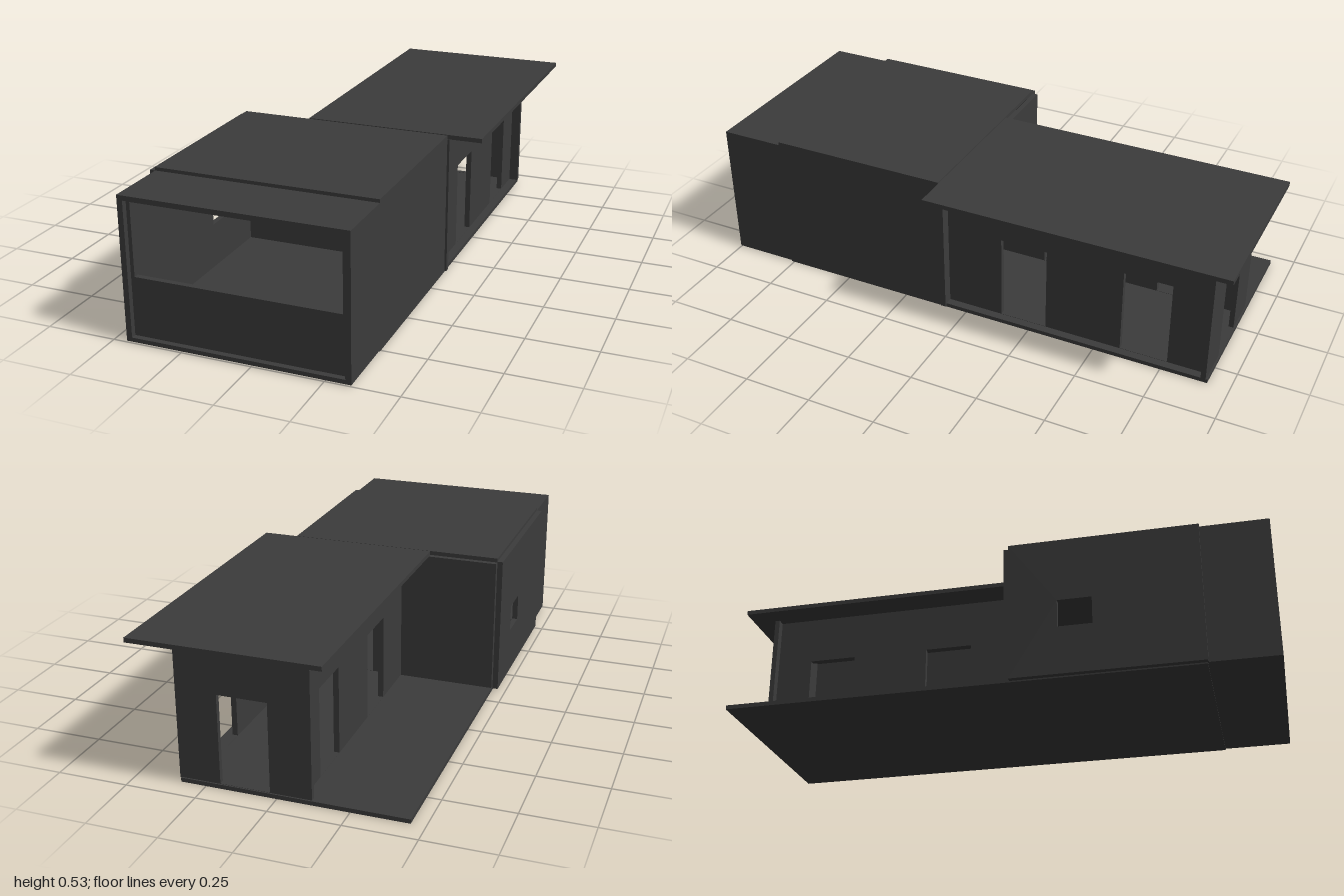
import * as THREE from 'three';

const material = new THREE.MeshStandardMaterial({ color: 0x3c3c3c, side: THREE.DoubleSide });

// Box given by its min and max on each axis
function slab(name, [x0, x1], [y0, y1], [z0, z1]) {
  const mesh = new THREE.Mesh(new THREE.BoxGeometry(x1 - x0, y1 - y0, z1 - z0), material);
  mesh.position.set((x0 + x1) / 2, (y0 + y1) / 2, (z0 + z1) / 2);
  mesh.name = name;
  return mesh;
}

function rect(target, [a0, a1], [y0, y1]) {
  target.moveTo(a0, y0);
  target.lineTo(a1, y0);
  target.lineTo(a1, y1);
  target.lineTo(a0, y1);
  target.closePath();
  return target;
}

// Wall facing z with rectangular openings [[x0, x1], [y0, y1]]
function wallZ(name, xs, ys, [z0, z1], openings) {
  const shape = rect(new THREE.Shape(), xs, ys);
  shape.holes = openings.map(([a, y]) => rect(new THREE.Path(), a, y));
  const geometry = new THREE.ExtrudeGeometry(shape, { depth: z1 - z0, bevelEnabled: false });
  geometry.translate(0, 0, z0);
  const mesh = new THREE.Mesh(geometry, material);
  mesh.name = name;
  return mesh;
}

// Wall facing x with openings [[z0, z1], [y0, y1]]
function wallX(name, [x0, x1], [z0, z1], ys, openings) {
  const flipped = openings.map(([[a, b], y]) => [[-b, -a], y]);
  const mesh = wallZ(name, [-z1, -z0], ys, [x0, x1], flipped);
  mesh.geometry.rotateY(Math.PI / 2);
  return mesh;
}

export function createModel() {
  const house = new THREE.Group();
  house.name = 'house';

  // Floor and roofs
  house.add(
    slab('floor', [-0.45, 0.34], [0, 0.015], [-0.92, 0.76]),
    slab('middleRoof', [-0.45, 0.34], [0.513, 0.527], [0.1, 0.763]),
    slab('rearRoof', [-0.195, 0.465], [0.512, 0.528], [-1, 0.095])
  );

  // Front bay: open-backed frame with a recessed window wall
  const bay = new THREE.Group();
  bay.name = 'frontBay';
  const bayZ = [0.76, 1];
  bay.add(
    slab('bayFloor', [-0.45, 0.34], [0.005, 0.02], bayZ),
    slab('bayRoof', [-0.45, 0.34], [0.498, 0.515], bayZ),
    slab('bayRightWall', [-0.45, -0.43], [0.02, 0.498], bayZ),
    slab('bayLeftWall', [0.32, 0.34], [0.02, 0.498], bayZ),
    wallZ('bayWindowWall', [-0.43, 0.32], [0.02, 0.498], [0.96, 0.98],
      [[[-0.417, 0.306], [0.23, 0.488]]])
  );
  house.add(bay);

  // Middle room side walls
  house.add(
    wallX('middleRightWall', [-0.47, -0.45], [0.1, 0.763], [0.005, 0.515],
      [[[0.27, 0.39], [0.18, 0.28]]]),
    slab('middleLeftWall', [0.32, 0.34], [0.015, 0.513], [0.1, 0.76])
  );

  // Cross walls with aligned doors
  const door = [[0.025, 0.2], [0.016, 0.335]];
  house.add(
    wallZ('dividingWall', [-0.45, 0.348], [0.005, 0.512], [0.08, 0.1], [door]),
    wallZ('backWall', [-0.12, 0.345], [0.014, 0.513], [-0.915, -0.897], [door])
  );

  // Rear room side walls, each with two doors
  const doorY = [0.016, 0.335];
  const nearDoor = [[-0.305, -0.13], doorY];
  const farDoor = [[-0.765, -0.59], doorY];
  house.add(
    wallX('rearRightWall', [-0.09, -0.07], [-0.897, 0.08], [0.014, 0.513], [nearDoor, farDoor]),
    wallX('rearLeftWallFront', [0.29, 0.31], [-0.445, 0.08], [0.014, 0.513], [nearDoor]),
    wallX('rearLeftWallBack', [0.29, 0.31], [-0.897, -0.445], [0.014, 0.513], [farDoor])
  );
  return house;
}
